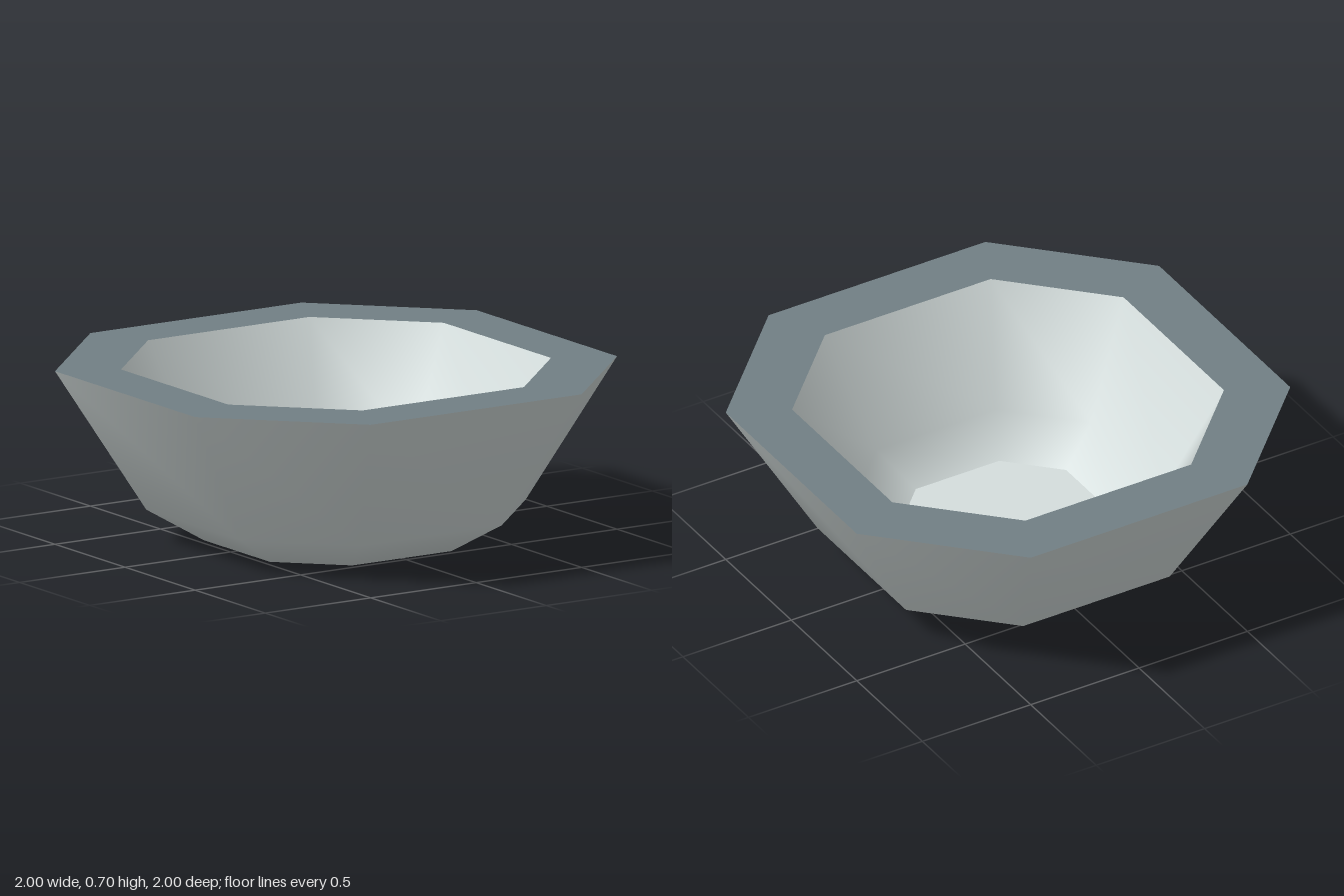
import * as THREE from 'three';

// Octagon with unequal sides: corners for a half width of 1
const CORNERS = [[1, -0.5], [1, 0.5], [0.5, 1], [-0.5, 1], [-1, 0.5], [-1, -0.5], [-0.5, -1], [0.5, -1]];

// Skin a run of octagons, each given as [half width, height], with smooth normals
function loft(rings) {
  const n = CORNERS.length;
  const positions = [];
  const index = [];
  for (const [r, y] of rings) {
    for (const [x, z] of CORNERS) positions.push(x * r, y, z * r);
  }
  for (let k = 0; k < rings.length - 1; k++) {
    for (let i = 0; i < n; i++) {
      const a = k * n + i;
      const b = k * n + (i + 1) % n;
      if (rings[k][0] > 0) index.push(a, b, a + n);
      if (rings[k + 1][0] > 0) index.push(b, b + n, a + n);
    }
  }
  const geometry = new THREE.BufferGeometry();
  geometry.setAttribute('position', new THREE.Float32BufferAttribute(positions, 3));
  geometry.setIndex(index);
  geometry.computeVertexNormals();
  return geometry;
}

export function createModel() {
  const group = new THREE.Group();
  group.name = 'bowl';

  const paleMetal = new THREE.MeshStandardMaterial({ color: 0xd5dedd });
  paleMetal.name = 'pale metal';
  const darkMetal = new THREE.MeshStandardMaterial({ color: 0x728085 });
  darkMetal.name = 'dark metal';

  const add = (name, rings, material) => {
    const mesh = new THREE.Mesh(loft(rings), material);
    mesh.name = name;
    group.add(mesh);
  };

  // Profile runs from the inner floor, over the rim, to the underside
  add('innerFloor', [[0, 0.12], [0.385, 0.12]], paleMetal);
  add('innerWall', [[0.385, 0.12], [0.55, 0.24], [0.765, 0.7]], paleMetal);
  add('rim', [[0.765, 0.7], [1, 0.7]], darkMetal);
  add('outerWall', [[1, 0.7], [0.675, 0.13], [0.47, 0], [0, 0]], paleMetal);

  return group;
}
